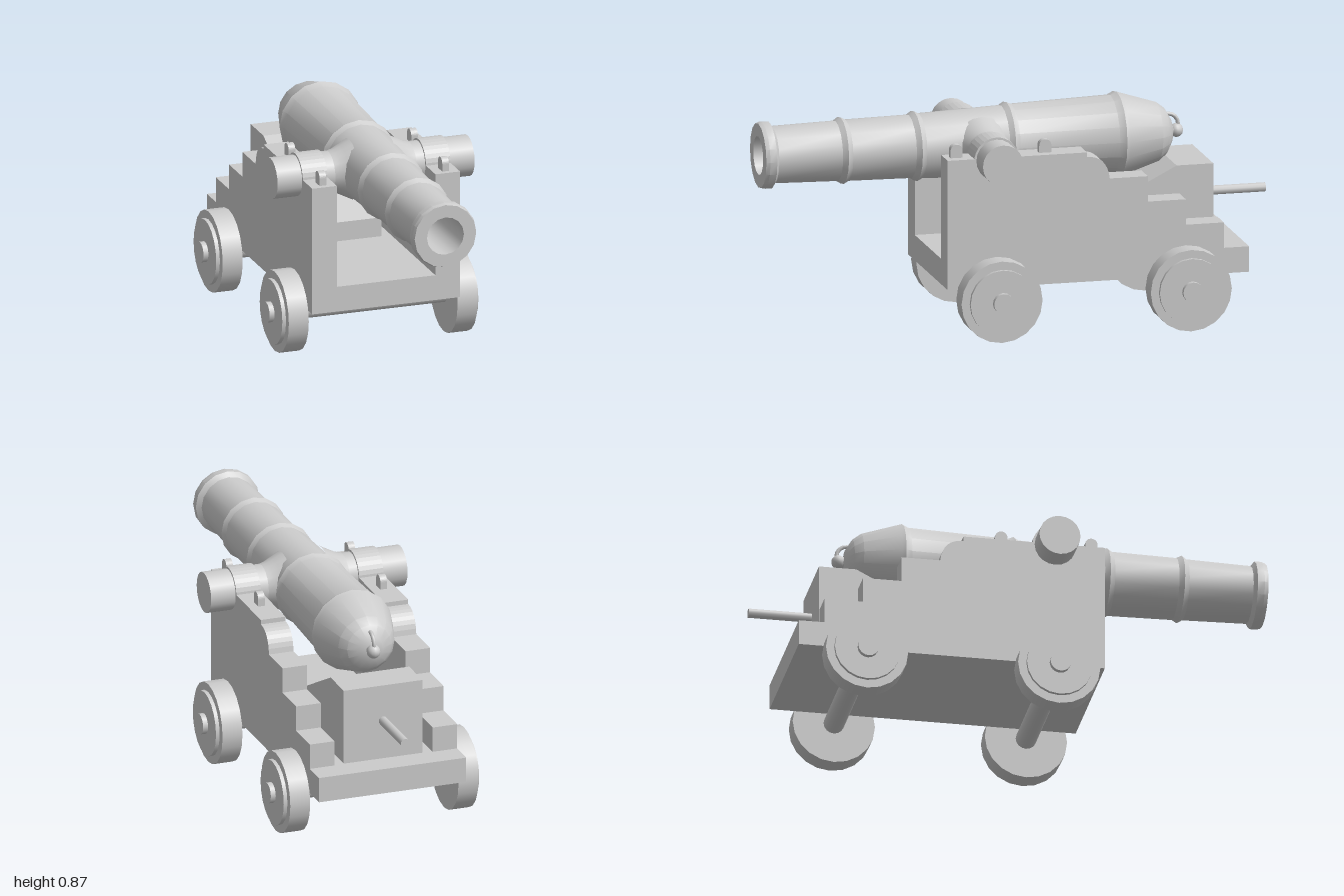
import * as THREE from 'three';
import { toCreasedNormals } from 'three/addons/utils/BufferGeometryUtils.js';

const grey = new THREE.MeshStandardMaterial({ color: 0xcccccc });
const V2 = (a, b) => new THREE.Vector2(a, b);

export function createModel() {
  const root = new THREE.Group();
  root.name = 'cannon';

  const add = (name, geometry, x = 0, y = 0, z = 0) => {
    const mesh = new THREE.Mesh(geometry, grey);
    mesh.name = name;
    mesh.position.set(x, y, z);
    root.add(mesh);
    return mesh;
  };
  const box = (name, w, y0, y1, z0, z1) =>
    add(name, new THREE.BoxGeometry(w, y1 - y0, z1 - z0), 0, (y0 + y1) / 2, (z0 + z1) / 2);
  // cylinder lying along x between x0 and x1
  const crossCylinder = (name, r, x0, x1, y, z, sides = 16) =>
    add(name, new THREE.CylinderGeometry(r, r, Math.abs(x1 - x0), sides).rotateZ(Math.PI / 2), (x0 + x1) / 2, y, z);
  // side profile drawn in (-z, y), extruded along x and centred
  const sideExtrude = (shape, width) =>
    new THREE.ExtrudeGeometry(shape, { depth: width, bevelEnabled: false, curveSegments: 8 })
      .translate(0, 0, -width / 2).rotateY(Math.PI / 2);

  const AXIS = 0.7, TRUNNION_Z = 0.137;

  // barrel: breech to muzzle, then back down the bore (radius, z)
  const profile = [
    [0, -0.635], [0.05, -0.625], [0.09, -0.602], [0.115, -0.57], [0.16, -0.43], [0.165, -0.415], [0.153, -0.39],
    [0.141, 0], [0.15, 0.02], [0.138, 0.04],
    [0.126, 0.365], [0.136, 0.385], [0.123, 0.405],
    [0.119, 0.655], [0.13, 0.675], [0.117, 0.695],
    [0.111, 0.945], [0.13, 0.958], [0.13, 0.985], [0.125, 1],
    [0.075, 1], [0.075, 0.3], [0, 0.3],
  ].map(([r, z]) => V2(r, z));
  add('barrel', toCreasedNormals(new THREE.LatheGeometry(profile, 16).rotateX(Math.PI / 2), 0.45), 0, AXIS, 0);

  // breech knob and its ring
  add('breechKnobNeck', new THREE.CylinderGeometry(0.017, 0.025, 0.04, 10).rotateX(-Math.PI / 2), 0, AXIS, -0.635);
  add('breechKnob', new THREE.SphereGeometry(0.027, 12, 8), 0, AXIS, -0.65);
  add('breechRing', new THREE.TorusGeometry(0.042, 0.008, 6, 16).rotateY(Math.PI / 2), 0, AXIS + 0.025, -0.615);

  // trunnions
  crossCylinder('trunnions', 0.08, -0.4, 0.4, AXIS, TRUNNION_Z, 20);

  // carriage cheek with stepped rear
  const cheek = new THREE.Shape();
  cheek.moveTo(-0.33, 0.2);
  cheek.lineTo(0.76, 0.2);
  [[0.76, 0.4], [0.61, 0.4], [0.61, 0.5], [0.46, 0.5], [0.46, 0.6], [0.31, 0.6]].forEach(p => cheek.lineTo(...p));
  cheek.quadraticCurveTo(0.3, 0.69, 0.22, 0.69);
  cheek.lineTo(0.22, 0.708);
  cheek.lineTo(-0.33, 0.708);
  cheek.closePath();
  const cheekGeometry = sideExtrude(cheek, 0.1);

  // half-round strap over each trunnion
  const strap = new THREE.Shape();
  strap.absarc(0, 0, 0.088, 0, Math.PI, false);
  strap.closePath();
  const strapGeometry = sideExtrude(strap, 0.1);

  // round-topped strap bolt
  const bolt = new THREE.Shape();
  bolt.moveTo(-0.024, 0);
  bolt.lineTo(0.024, 0);
  bolt.lineTo(0.024, 0.03);
  bolt.absarc(0, 0.03, 0.024, 0, Math.PI, false);
  bolt.closePath();
  const boltGeometry = sideExtrude(bolt, 0.027);

  for (const [side, s] of [['left', 1], ['right', -1]]) {
    add(side + 'Cheek', cheekGeometry, s * 0.25, 0, 0);
    add(side + 'TrunnionStrap', strapGeometry, s * 0.25, AXIS, TRUNNION_Z);
    for (const z of [0.285, -0.065]) add(side + 'StrapBolt', boltGeometry, s * 0.249, 0.706, z);
    // flared shoulder where the trunnion meets the barrel
    const shoulder = [[0.118, 0.08], [0.1, 0.115], [0.087, 0.14], [0.08, 0.165]].map(([r, h]) => V2(r, h));
    add(side + 'TrunnionShoulder',
      new THREE.LatheGeometry(shoulder, 20).rotateZ(-s * Math.PI / 2), 0, AXIS, TRUNNION_Z);
    // wheels
    for (const [end, z] of [['Front', TRUNNION_Z], ['Rear', -0.61]]) {
      crossCylinder(side + end + 'Wheel', 0.16, s * 0.302, s * 0.383, 0.16, z, 20);
      crossCylinder(side + end + 'WheelHub', 0.128, s * 0.38, s * 0.398, 0.16, z, 20);
    }
  }

  // bed between the cheeks, with a full-width rear ledge
  box('bed', 0.4, 0.2, 0.3, -0.76, 0.33);
  box('rearLedge', 0.6, 0.2, 0.3, -0.86, -0.76);

  // axles
  crossCylinder('frontAxle', 0.04, -0.418, 0.418, 0.16, TRUNNION_Z);
  crossCylinder('rearAxle', 0.04, -0.418, 0.418, 0.16, -0.61);

  // elevating wedge and its handle
  const wedge = new THREE.Shape([
    V2(0.17, 0.3), V2(0.755, 0.3), V2(0.755, 0.6), V2(0.61, 0.6), V2(0.17, 0.376),
  ]);
  add('elevatingWedge', sideExtrude(wedge, 0.32));
  add('wedgeHandle', new THREE.CylinderGeometry(0.018, 0.018, 0.26, 10).rotateX(Math.PI / 2), 0, 0.455, -0.87);

  return root;
}
